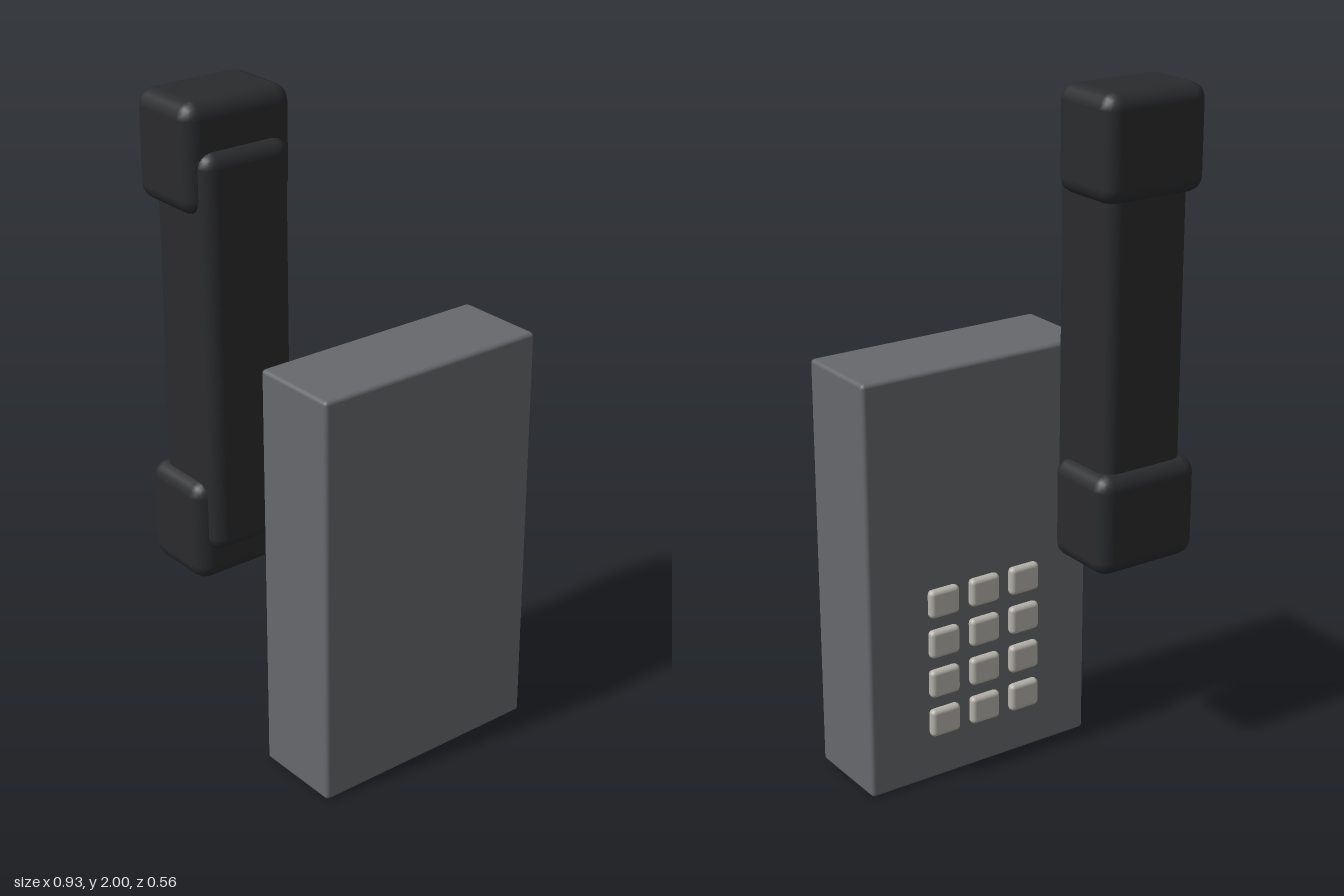
import * as THREE from 'three';
import { RoundedBoxGeometry } from 'three/addons/geometries/RoundedBoxGeometry.js';

const paint = (color) => new THREE.MeshStandardMaterial({ color });

// Bevelled box given by its [min, max] extents on each axis
function bevelBox(name, [x0, x1], [y0, y1], [z0, z1], radius, material) {
  const geometry = new RoundedBoxGeometry(x1 - x0, y1 - y0, z1 - z0, 2, radius);
  const mesh = new THREE.Mesh(geometry, material);
  mesh.position.set((x0 + x1) / 2, (y0 + y1) / 2, (z0 + z1) / 2);
  mesh.name = name;
  return mesh;
}

export function createModel() {
  const model = new THREE.Group();
  model.name = 'wallPhone';
  const bodyGrey = paint(0x66686b);
  const handsetBlack = paint(0x2a2b2d);
  const keyGrey = paint(0xb5b2ab);

  // Main housing
  model.add(bevelBox('body', [-0.28, 0.465], [0, 1.25], [0, 0.28], 0.012, bodyGrey));

  // Handset: grip bar with an earpiece and a mouthpiece
  const handset = new THREE.Group();
  handset.name = 'handset';
  handset.add(bevelBox('grip', [-0.437, -0.162], [0.73, 1.87], [-0.247, -0.002], 0.04, handsetBlack));
  for (const [name, y] of [['earpiece', 1.7], ['mouthpiece', 0.632]]) {
    handset.add(bevelBox(name, [-0.468, -0.128], [y, y + 0.3], [-0.28, -0.037], 0.045, handsetBlack));
  }
  model.add(handset);

  // Keypad: four rows of three keys on the handset side
  const keypad = new THREE.Group();
  keypad.name = 'keypad';
  for (let row = 0; row < 4; row++) {
    for (let col = 0; col < 3; col++) {
      const x = -0.094 + col * 0.137;
      const y = 0.149 + row * 0.125;
      keypad.add(bevelBox('key', [x, x + 0.098], [y, y + 0.086], [-0.033, -0.003], 0.014, keyGrey));
    }
  }
  model.add(keypad);

  return model;
}
